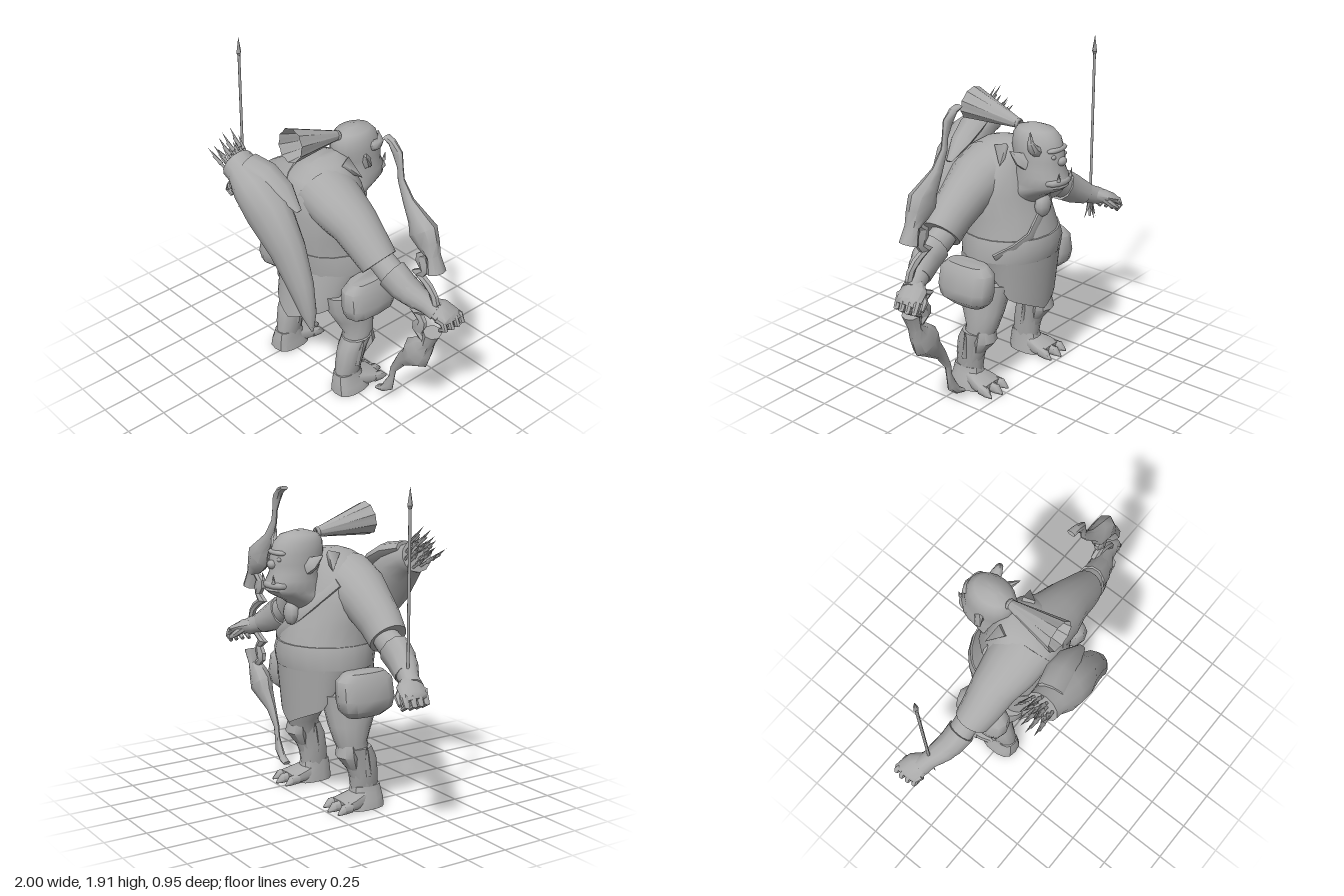
import * as THREE from 'three';
import { toCreasedNormals } from 'three/addons/utils/BufferGeometryUtils.js';

const V = (a) => new THREE.Vector3(...a);

// Skin through elliptical rings [x, y, z, a, b]: b along ref, a across it
function loft(rows, { ref = [0, 0, 1], dir = null, sides = 14, crease = 0.8, pow = 1 } = {}) {
  const pos = [], idx = [], n = rows.length;
  const shape = (k) => Math.sign(k) * Math.abs(k) ** pow;
  rows.forEach((r, i) => {
    const t = dir ? V(dir) : V(rows[Math.min(i + 1, n - 1)].slice(0, 3))
      .sub(V(rows[Math.max(i - 1, 0)].slice(0, 3)));
    t.normalize();
    const u = V(ref).addScaledVector(t, -V(ref).dot(t)).normalize();
    const w = t.clone().cross(u);
    for (let j = 0; j < sides; j++) {
      const q = (j / sides) * Math.PI * 2;
      const p = V(r.slice(0, 3)).addScaledVector(u, r[4] * shape(Math.cos(q)))
        .addScaledVector(w, r[3] * shape(Math.sin(q)));
      pos.push(p.x, p.y, p.z);
    }
  });
  for (let i = 0; i < n - 1; i++) for (let j = 0; j < sides; j++) {
    const k = (j + 1) % sides, a = i * sides + j, b = i * sides + k;
    idx.push(a, b, b + sides, a, b + sides, a + sides);
  }
  const last = (n - 1) * sides;
  for (let j = 1; j < sides - 1; j++) idx.push(0, j + 1, j, last, last + j, last + j + 1);
  const g = new THREE.BufferGeometry();
  g.setAttribute('position', new THREE.Float32BufferAttribute(pos, 3));
  g.setIndex(idx);
  return toCreasedNormals(g, crease);
}

// Tapered rod from one point to another
function rod(from, to, r0, r1 = 0, sides = 6) {
  const d = V(to).sub(V(from));
  const g = new THREE.CylinderGeometry(r1, r0, d.length(), sides);
  g.applyQuaternion(new THREE.Quaternion().setFromUnitVectors(V([0, 1, 0]), d.clone().normalize()));
  const m = V(from).addScaledVector(d, 0.5);
  return g.translate(m.x, m.y, m.z);
}

function ball(p, s, w = 12, h = 8) {
  return new THREE.SphereGeometry(1, w, h).scale(...s).translate(...p);
}

export function createModel() {
  const root = new THREE.Group();
  root.name = 'ogreArcher';
  const clay = new THREE.MeshStandardMaterial({ color: 0xaaaaaa, side: THREE.DoubleSide });
  clay.name = 'grey clay';
  const add = (name, g) => {
    const m = new THREE.Mesh(g, clay);
    m.name = name;
    root.add(m);
  };
  const up = { dir: [0, 1, 0], sides: 20 };
  const ringsY = (a) => a.map(([y, hx, zc, hz]) => [0, y, zc, hx, hz]);

  // Body, belt and pointed skirt
  add('torso', loft(ringsY([[0.56, 0.16, -0.06, 0.12], [0.64, 0.25, -0.07, 0.18], [0.76, 0.28, -0.085, 0.245],
    [0.88, 0.295, -0.09, 0.28], [0.97, 0.285, -0.075, 0.28], [1.08, 0.28, -0.05, 0.26],
    [1.2, 0.29, -0.03, 0.24], [1.32, 0.26, -0.015, 0.22], [1.41, 0.18, -0.015, 0.185],
    [1.465, 0.11, -0.05, 0.13], [1.49, 0.04, -0.07, 0.07]]), up));
  add('belt', loft(ringsY([[0.82, 0.308, -0.09, 0.275], [0.9, 0.308, -0.09, 0.29], [0.96, 0.293, -0.08, 0.287]]), up));
  const skirt = new THREE.CylinderGeometry(1, 1, 1, 48, 3, true);
  const sp = skirt.attributes.position;
  for (let i = 0; i < sp.count; i++) {
    const x = sp.getX(i), z = sp.getZ(i), t = 0.5 - sp.getY(i), w = Math.abs(x);
    const hem = w < 0.78 ? 0.485 + 0.13 * w : 0.586 + (w - 0.78) * 0.8;
    sp.setXYZ(i, x * (0.312 - 0.03 * t), 0.83 + (hem - 0.83) * t,
      -0.09 + z * (0.27 + (z > 0 ? 0.06 : -0.025) * t));
  }
  skirt.computeVertexNormals();
  add('skirt', skirt);

  // Diagonal chest strap and round pendant
  add('chestStrap', loft([[-0.22, 1.32, -0.14, 0.035, 0.012], [-0.13, 1.2, -0.246, 0.035, 0.012],
    [-0.06, 1.13, -0.29, 0.035, 0.012], [0.02, 1.07, -0.312, 0.035, 0.012], [0.13, 0.98, -0.325, 0.035, 0.012],
    [0.21, 0.92, -0.276, 0.035, 0.012], [0.28, 0.86, -0.19, 0.035, 0.012]], { sides: 6 }));
  add('pendant', ball([0, 1.13, -0.315], [0.06, 0.07, 0.042], 10, 6));

  // Head
  add('head', loft(ringsY([[1.14, 0.1, -0.17, 0.1], [1.21, 0.13, -0.2, 0.16], [1.25, 0.125, -0.275, 0.165],
    [1.275, 0.13, -0.3, 0.17], [1.33, 0.13, -0.3, 0.165], [1.37, 0.123, -0.295, 0.148], [1.42, 0.12, -0.285, 0.16],
    [1.48, 0.117, -0.275, 0.16], [1.54, 0.107, -0.267, 0.148], [1.58, 0.082, -0.26, 0.115],
    [1.602, 0.025, -0.255, 0.035]]), up));
  add('brow', ball([0, 1.485, -0.405], [0.085, 0.02, 0.034]));
  add('nose', ball([0, 1.42, -0.44], [0.036, 0.026, 0.024], 8, 6));
  add('lowerJaw', ball([0, 1.305, -0.41], [0.105, 0.035, 0.066]));
  add('horn', loft([[0.09, 1.48, -0.33, 0.035, 0.04], [0.125, 1.5, -0.335, 0.03, 0.034],
    [0.15, 1.54, -0.335, 0.02, 0.02], [0.14, 1.6, -0.325, 0.002, 0.002]], { sides: 8 }));
  for (const s of [1, -1]) {
    add('ear', loft([[s * 0.1, 1.41, -0.27, 0.055, 0.035], [s * 0.14, 1.43, -0.25, 0.042, 0.02],
      [s * 0.175, 1.475, -0.21, 0.002, 0.002]], { sides: 6 }));
    add('eye', ball([s * 0.05, 1.45, -0.42], [0.017, 0.013, 0.012], 8, 6));
    add('tusk', rod([s * 0.055, 1.32, -0.46], [s * 0.06, 1.375, -0.465], 0.012));
    add('collarPoint', rod([s * 0.1, 1.45, -0.1], [s * 0.2, 1.38, -0.16], 0.05, 0, 4));
  }

  // Ponytail with a pleated open end
  const tail = new THREE.CylinderGeometry(0.1, 0.024, 0.36, 20, 1, true);
  const tp = tail.attributes.position;
  for (let i = 0; i < tp.count; i++) {
    const k = (i % 21) % 2 ? 0.92 : 1;
    if (tp.getY(i) > 0) tp.setXYZ(i, tp.getX(i) * k, tp.getY(i), tp.getZ(i) * k);
  }
  add('ponytail', toCreasedNormals(tail.rotateX(Math.PI / 2 - 0.17).translate(0, 1.605, 0.025), 0.5));
  add('hairTie', new THREE.TorusGeometry(0.022, 0.012, 6, 12).translate(0, 1.575, -0.14));

  for (const s of [1, -1]) {
    const side = (rows) => rows.map(([x, ...r]) => [s * x, ...r]);
    // Sleeve, arm and bracer
    add('sleeve', loft(side([[0.05, 1.32, 0.01, 0.15, 0.185], [0.2, 1.26, 0.015, 0.15, 0.165],
      [0.32, 1.195, 0.005, 0.138, 0.138], [0.43, 1.115, 0.005, 0.127, 0.12], [0.515, 1.04, -0.003, 0.12, 0.105]]),
      { sides: 18 }));
    add('arm', loft(side([[0.42, 1.1, -0.01, 0.08, 0.07], [0.54, 1.03, -0.02, 0.08, 0.075],
      [0.64, 0.98, -0.02, 0.085, 0.075], [0.73, 0.93, -0.04, 0.08, 0.07],
      [0.82, 0.885, -0.08, 0.058, 0.055], [0.88, 0.86, -0.1, 0.055, 0.06]])));
    add('bracer', loft(side([[0.6, 1.0, -0.02, 0.1, 0.086], [0.68, 0.955, -0.03, 0.094, 0.08],
      [0.78, 0.9, -0.065, 0.07, 0.065]]), { sides: 10 }));
    // Hand with curled fingers
    add('palm', loft(side([[0.83, 0.88, -0.085, 0.045, 0.05], [0.89, 0.86, -0.12, 0.048, 0.08],
      [0.95, 0.835, -0.14, 0.036, 0.08], [0.97, 0.82, -0.14, 0.015, 0.07]]), { sides: 10 }));
    for (let f = 0; f < 4; f++) {
      const z = -0.205 + f * 0.043, x = 0.985 - Math.abs(f - 1.4) * 0.008;
      add('finger', loft(side([[0.92, 0.85, z + 0.02, 0.022, 0.02], [x - 0.02, 0.83, z, 0.022, 0.02],
        [x, 0.795, z, 0.018, 0.018], [x - 0.04, 0.77, z, 0.012, 0.012]]), { sides: 7 }));
    }
    add('thumb', loft(side([[0.86, 0.86, -0.15, 0.025, 0.025], [0.89, 0.82, -0.2, 0.022, 0.022],
      [0.93, 0.79, -0.215, 0.012, 0.012]]), { sides: 7 }));

    // Hip pouch, wider towards the bottom
    add('pouch', loft(side([[0.365, 0.575, -0.06, 0.05, 0.11], [0.378, 0.62, -0.06, 0.085, 0.165],
      [0.378, 0.68, -0.06, 0.09, 0.18], [0.365, 0.79, -0.06, 0.08, 0.175], [0.36, 0.83, -0.06, 0.06, 0.13]]),
      { dir: [0, 1, 0], sides: 12, pow: 0.72 }));

    // Bent leg, greave and knee plate
    add('leg', loft(side([[0.28, 0.1, 0.01, 0.06, 0.07], [0.28, 0.3, -0.05, 0.068, 0.085],
      [0.265, 0.4, -0.083, 0.085, 0.1], [0.24, 0.5, -0.07, 0.104, 0.138], [0.22, 0.58, -0.055, 0.115, 0.165],
      [0.205, 0.68, -0.06, 0.12, 0.18]]), { dir: [0, 1, 0] }));
    add('greave', loft(side([[0.275, 0.1, 0.005, 0.06, 0.088], [0.278, 0.2, -0.005, 0.074, 0.09],
      [0.28, 0.3, -0.025, 0.08, 0.095], [0.28, 0.37, -0.06, 0.084, 0.095]]), { dir: [0, 1, 0], sides: 12 }));
    add('kneePlate', loft(side([[0.28, 0.24, -0.085, 0.05, 0.03], [0.28, 0.32, -0.12, 0.08, 0.062],
      [0.275, 0.39, -0.12, 0.07, 0.045]]), { dir: [0, 1, 0], sides: 8 }));
    for (const k of [1, -1])
      add('greaveWing', rod([s * (0.28 + k * 0.055), 0.2, -0.01], [s * (0.28 + k * 0.09), 0.38, -0.04], 0.03, 0.004, 4));

    // Foot: sloping heel, instep and clawed toes
    add('heel', loft(side([[0.288, 0.0, -0.01, 0.09, 0.122], [0.286, 0.05, -0.005, 0.08, 0.115],
      [0.28, 0.09, 0.008, 0.068, 0.095], [0.278, 0.13, 0.008, 0.062, 0.088]]),
      { dir: [0, 1, 0], sides: 14, pow: 0.75, crease: 0.5 }));
    add('instep', loft(side([[0.285, 0.058, -0.03, 0.055, 0.07], [0.29, 0.045, -0.11, 0.043, 0.088],
      [0.292, 0.034, -0.18, 0.031, 0.092]]), { ref: [1, 0, 0], dir: [0, 0, -1], sides: 12, pow: 0.7 }));
    for (const t of [-1, 0, 1]) {
      const x = 0.292 + t * 0.062, z = t ? -0.195 : -0.215;
      add('toe', loft(side([[x, 0.035, -0.14, 0.033, 0.032], [x + t * 0.01, 0.032, z, 0.03, 0.027],
        [x + t * 0.015, 0.012, z - 0.04, 0.006, 0.006]]), { ref: [1, 0, 0], dir: [0, 0, -1], sides: 8 }));
    }
  }

  // Quiver slung across the back, with a bundle of arrows
  add('quiver', loft([[-0.31, 1.44, 0.335, 0.095, 0.1], [-0.25, 1.42, 0.335, 0.09, 0.105],
    [-0.15, 1.365, 0.34, 0.13, 0.13], [-0.03, 1.25, 0.337, 0.165, 0.122], [0.11, 1.06, 0.322, 0.135, 0.093],
    [0.21, 0.87, 0.315, 0.1, 0.068], [0.28, 0.71, 0.315, 0.055, 0.045], [0.315, 0.6, 0.315, 0.008, 0.008]],
    { sides: 12, crease: 0.9 }));
  add('quiverFlap', loft([[-0.22, 1.48, 0.32, 0.04, 0.08], [-0.1, 1.45, 0.29, 0.05, 0.085],
    [0.02, 1.39, 0.27, 0.04, 0.07], [0.14, 1.3, 0.26, 0.005, 0.02]], { sides: 8, crease: 0.9 }));
  for (let i = 0; i < 16; i++) {
    const a = i * 2.4, r = 0.085 * Math.sqrt((i + 0.5) / 16);
    const c = Math.cos(a) * r, d = Math.sin(a) * r, l = 0.8 + 0.2 * Math.sin(i * 5);
    add('quiverArrow', rod([-0.26 + c * 0.6, 1.41 + c * 0.7, 0.33 + d * 0.8],
      [-0.29 - 0.12 * l + c * 0.6, 1.43 + 0.075 * l + c * 0.9, 0.33 + d * 1.15], 0.008, 0.01, 4));
    add('quiverFeather', rod([-0.35 + c * 0.6, 1.47 + c * 0.9, 0.33 + d],
      [-0.3 - 0.16 * l + c * 0.65, 1.45 + 0.1 * l + c, 0.33 + d * 1.25], 0.014, 0, 4));
  }

  // Bow: two mirrored carved limbs and a jagged grip
  for (const flip of [false, true]) {
    const m = (rows) => rows.map(([x, y, a, b]) => [x, flip ? 1.84 - y : y, -0.085, a, b]);
    add('bowLimb', loft(m([[0.455, 1.782, 0.012, 0.026], [0.5, 1.765, 0.022, 0.024], [0.545, 1.715, 0.036, 0.02],
      [0.568, 1.64, 0.02, 0.015], [0.578, 1.57, 0.022, 0.016], [0.64, 1.465, 0.038, 0.027],
      [0.715, 1.39, 0.065, 0.05], [0.76, 1.335, 0.098, 0.066], [0.805, 1.27, 0.072, 0.055],
      [0.845, 1.215, 0.034, 0.045], [0.872, 1.125, 0.05, 0.058]]), { sides: 8 }));
    add('bowGrip', loft(m([[0.82, 1.22, 0.04, 0.02], [0.76, 1.175, 0.04, 0.022], [0.77, 1.13, 0.052, 0.024],
      [0.785, 1.09, 0.032, 0.022], [0.74, 1.05, 0.05, 0.024], [0.8, 1.02, 0.045, 0.022],
      [0.86, 0.97, 0.03, 0.02], [0.88, 0.92, 0.025, 0.02]]),
      { dir: [0, flip ? 1 : -1, 0], sides: 6, crease: 0.4 }));
  }

  // Held arrow
  const ax = -0.815, az = -0.085;
  add('arrowShaft', rod([ax, 0.74, az], [ax, 1.82, az], 0.009, 0.009));
  add('arrowHead', rod([ax, 1.81, az], [ax, 1.91, az], 0.018, 0, 4));
  add('arrowHeadBase', rod([ax, 1.81, az], [ax, 1.785, az], 0.018, 0.007, 4));
  for (let i = 0; i < 4; i++) {
    const a = i * Math.PI / 2 + 0.3;
    add('arrowFeather', rod([ax, 0.85, az], [ax + Math.cos(a) * 0.045, 0.73, az + Math.sin(a) * 0.045], 0.016, 0, 3));
  }
  return root;
}
